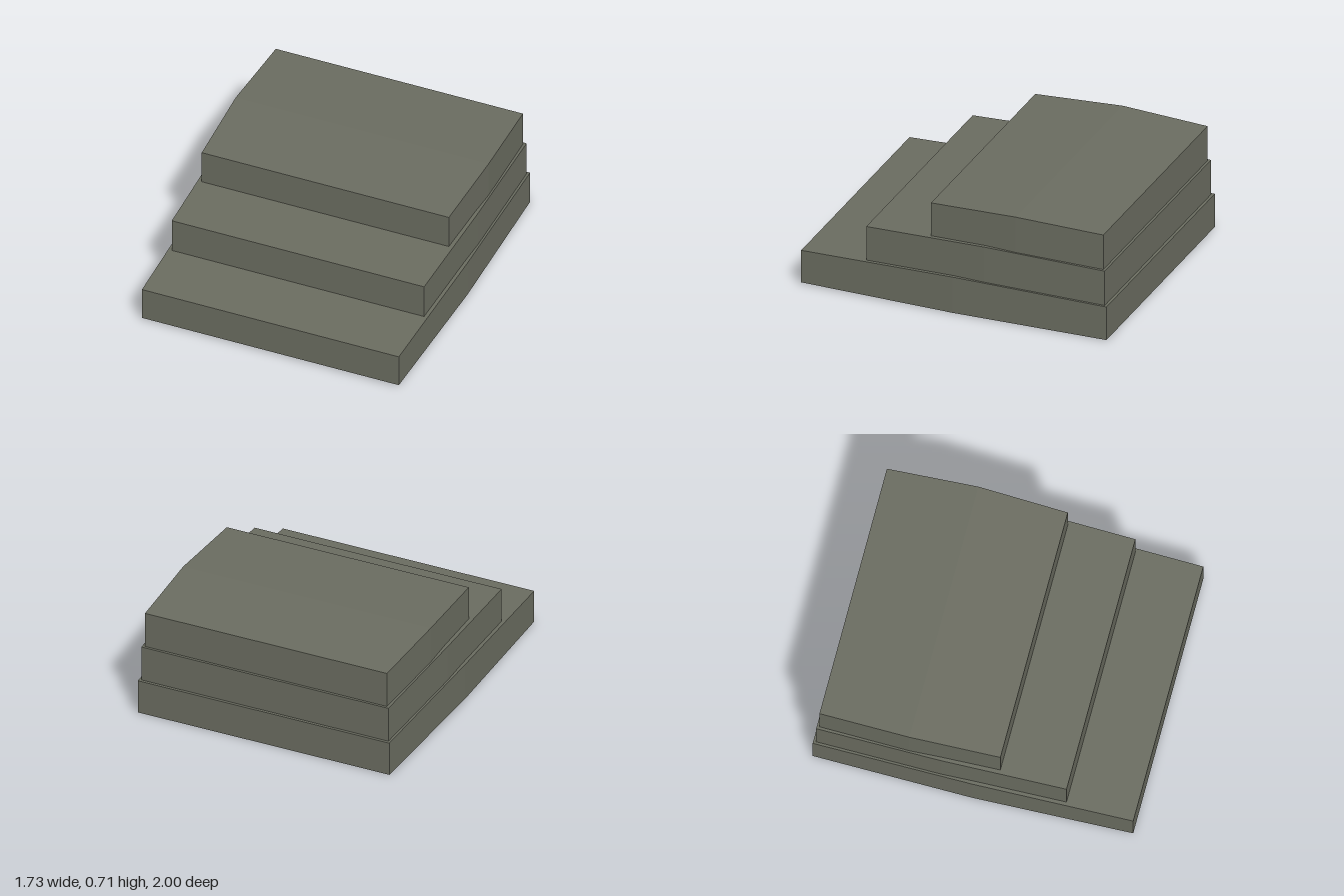
import * as THREE from 'three';

const stone = new THREE.MeshStandardMaterial({ color: 0x6a6c60, flatShading: true });
stone.name = 'greyStone';

// A slab of three cross-sections along z: front, middle, back.
// Each section is [z, halfWidth, bottom, top].
function makeSlab(name, sections) {
  const geometry = new THREE.BoxGeometry(2, 2, 2, 1, 1, 2);
  const p = geometry.attributes.position;
  for (let i = 0; i < p.count; i++) {
    const [z, half, bottom, top] = sections[1 - Math.round(p.getZ(i))];
    p.setXYZ(i, Math.sign(p.getX(i)) * half, p.getY(i) > 0 ? top : bottom, z);
  }
  geometry.computeVertexNormals();
  const mesh = new THREE.Mesh(geometry, stone);
  mesh.name = name;
  return mesh;
}

export function createModel() {
  const group = new THREE.Group();
  group.name = 'steps';

  // Three stacked treads, flush-ish at the back and bulging slightly mid-depth
  group.add(makeSlab('bottomStep', [
    [1, 0.845, 0.01, 0.225], [0, 0.865, 0.003, 0.243], [-1, 0.845, 0, 0.222],
  ]));
  group.add(makeSlab('middleStep', [
    [0.58, 0.83, 0.21, 0.458], [-0.2, 0.848, 0.21, 0.475], [-0.982, 0.83, 0.21, 0.453],
  ]));
  group.add(makeSlab('topStep', [
    [0.163, 0.813, 0.44, 0.688], [-0.4, 0.832, 0.44, 0.707], [-0.966, 0.813, 0.44, 0.685],
  ]));

  return group;
}
